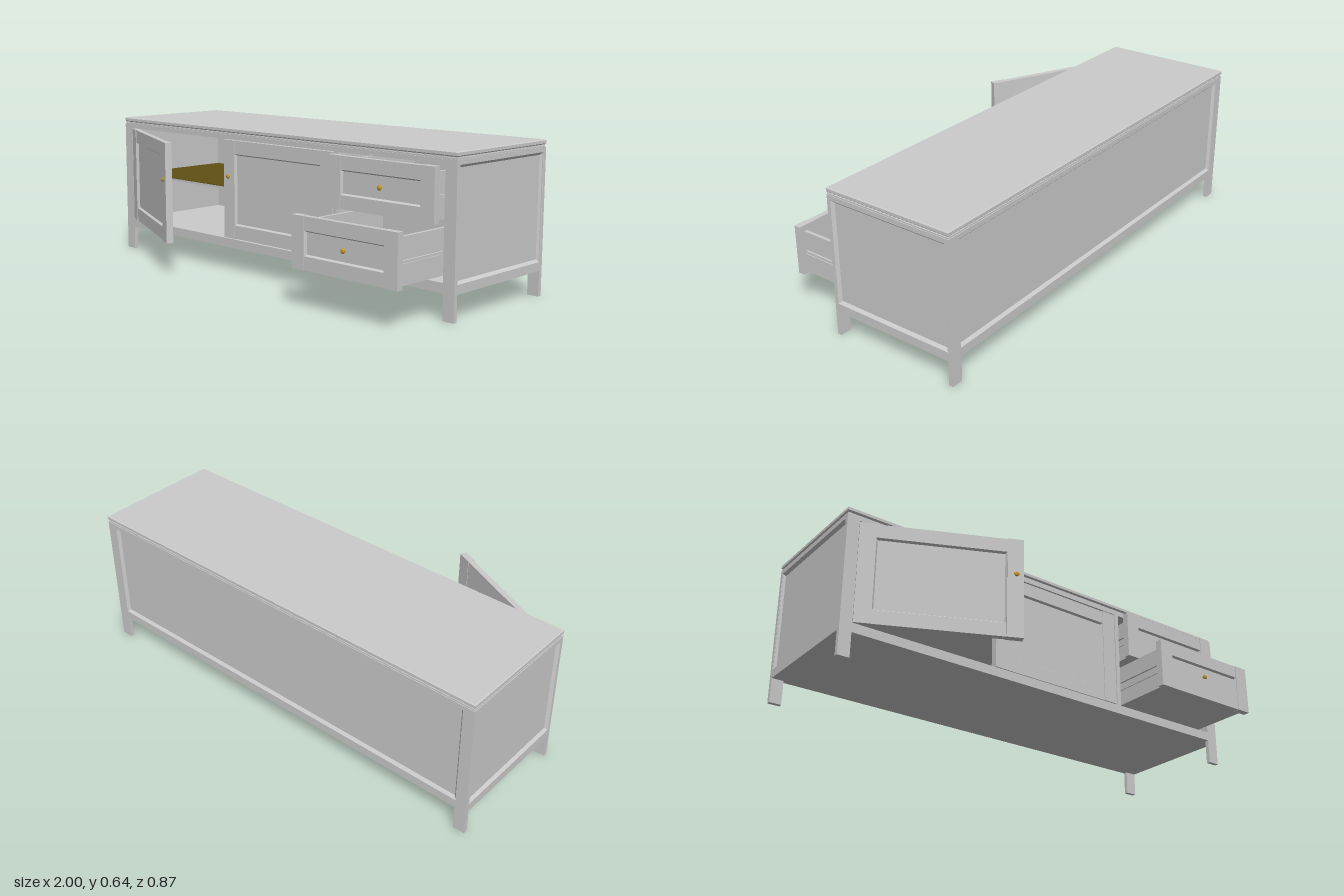
import * as THREE from 'three';

const grey = new THREE.MeshStandardMaterial({ color: 0xcccccc, flatShading: true });
const brown = new THREE.MeshStandardMaterial({ color: 0x605014 });
const gold = new THREE.MeshStandardMaterial({ color: 0xc89b2a });

const FRONT = 0.155, BACK = -0.435, BASE = 0.107, RIM = 0.615;
const MID_Z = (FRONT + BACK) / 2, DEPTH = FRONT - BACK;

function add(parent, name, geometry, material = grey) {
  const mesh = new THREE.Mesh(geometry, material);
  mesh.name = name;
  parent.add(mesh);
  return mesh;
}

// Box given by its minimum and maximum on each axis
function box(parent, name, [x0, x1], [y0, y1], [z0, z1], material) {
  const mesh = add(parent, name, new THREE.BoxGeometry(x1 - x0, y1 - y0, z1 - z0), material);
  mesh.position.set((x0 + x1) / 2, (y0 + y1) / 2, (z0 + z1) / 2);
  return mesh;
}

function group(parent, name) {
  const g = new THREE.Group();
  g.name = name;
  parent.add(g);
  return g;
}

// Solid from rectangular rings [x0, x1, y0, y1, z], running from back to front
function ringSolid(rings) {
  const loops = rings.map(([x0, x1, y0, y1, z]) =>
    [[x0, y0, z], [x1, y0, z], [x1, y1, z], [x0, y1, z]]);
  const pos = [];
  const quad = (a, b, c, d) => pos.push(...a, ...b, ...c, ...a, ...c, ...d);
  for (let k = 0; k < loops.length - 1; k++) {
    const A = loops[k], B = loops[k + 1];
    for (let i = 0; i < 4; i++) {
      const j = (i + 1) % 4;
      quad(A[i], A[j], B[j], B[i]);
    }
  }
  quad(...loops[loops.length - 1]);
  quad(...[...loops[0]].reverse());
  const g = new THREE.BufferGeometry();
  g.setAttribute('position', new THREE.Float32BufferAttribute(pos, 3));
  g.computeVertexNormals();
  return g;
}

// Board with a bevelled recess; front face at z = 0, x centred, y from 0 to h
function framedPanel(w, h, side, bottom, top, thickness, recess, bevel) {
  const x = w / 2, ix = x - side;
  return ringSolid([
    [-x, x, 0, h, -thickness],
    [-x, x, 0, h, 0],
    [-ix, ix, bottom, h - top, 0],
    [-ix + bevel, ix - bevel, bottom + bevel, h - top - bevel, -recess],
  ]);
}

function knob(parent, x, y, z) {
  const g = group(parent, 'knob');
  g.position.set(x, y, z);
  const head = add(g, 'knobHead', new THREE.SphereGeometry(0.011, 20, 12), gold);
  head.scale.z = 0.5;
  head.position.z = 0.005;
  const stem = add(g, 'knobStem', new THREE.CylinderGeometry(0.005, 0.005, 0.014, 12), gold);
  stem.rotation.x = Math.PI / 2;
  stem.position.z = -0.003;
}

// Stile-and-rail front, x from 0 to w, y from 0 to h, front at z = 0
function panelFront(parent, w, h, stile, rail) {
  const panel = add(parent, 'railsAndPanel',
    framedPanel(w - 0.004, h - 0.002, stile - 0.002, rail, rail, 0.025, 0.01, 0.006));
  panel.position.set(w / 2, 0.001, -0.003);
  for (const x of [0, w - stile]) box(parent, 'stile', [x, x + stile], [0, h], [-0.03, 0]);
}

function door(parent, name, x, angle, knobX) {
  const g = group(parent, name);
  g.position.set(x, 0.15, FRONT);
  g.rotation.y = -angle;
  panelFront(g, 0.66, 0.442, 0.068, 0.06);
  knob(g, knobX, 0.28, 0);
}

function drawer(parent, name, y, z) {
  const g = group(parent, name);
  g.position.set(0.41, y, z);
  panelFront(g, 0.533, 0.215, 0.065, 0.056);
  knob(g, 0.266, 0.108, -0.008);
  const back = -0.52, front = -0.028;
  // Sides, each with a runner groove
  for (const s of [-1, 1]) {
    const span = (a, b) => [0.2665 + s * a, 0.2665 + s * b].sort((p, q) => p - q);
    box(g, 'lowerSide', span(0.23, 0.245), [0.006, 0.1], [back, front]);
    box(g, 'grooveWall', span(0.23, 0.237), [0.1, 0.115], [back, front]);
    box(g, 'upperSide', span(0.23, 0.245), [0.115, 0.19], [back, front]);
    box(g, 'runner', span(0.245, 0.249), [0.075, 0.09], [back, front]);
  }
  box(g, 'drawerBack', [0.0365, 0.4965], [0.006, 0.19], [back, back + 0.015]);
  box(g, 'drawerBottom', [0.0365, 0.4965], [0.006, 0.016], [back + 0.015, front]);
  box(g, 'drawerLining', [0.0365, 0.4965], [0.016, 0.019], [back + 0.015, front], brown);
}

export function createModel() {
  const model = new THREE.Group();
  model.name = 'sideboard';

  // Side panels and back panel
  for (const s of [-1, 1]) {
    const side = add(model, s > 0 ? 'leftSide' : 'rightSide',
      framedPanel(DEPTH, RIM - BASE, 0.017, 0.038, 0.02, 0.03, 0.012, 0.011));
    side.position.set(s, BASE, MID_Z);
    side.rotation.y = s * Math.PI / 2;
  }
  const back = add(model, 'backPanel',
    framedPanel(1.998, RIM - BASE, 0.05, 0.038, 0.02, 0.02, 0.012, 0.011));
  back.position.set(0, BASE, BACK);
  back.rotation.y = Math.PI;

  // Front frame with door and drawer openings
  const outline = new THREE.Shape();
  const rect = (path, x0, x1, y0, y1) =>
    path.moveTo(x0, y0).lineTo(x1, y0).lineTo(x1, y1).lineTo(x0, y1).closePath();
  rect(outline, -0.999, 0.999, BASE, RIM);
  for (const [x0, x1] of [[-0.946, 0.384], [0.405, 0.946]]) {
    const hole = new THREE.Path();
    rect(hole, x0, x1, 0.147, 0.595);
    outline.holes.push(hole);
  }
  const frame = add(model, 'frontFrame',
    new THREE.ExtrudeGeometry(outline, { depth: 0.017, bevelEnabled: false }));
  frame.position.z = FRONT - 0.017;

  // Interior: floor, divider and shelf
  box(model, 'floor', [-0.972, 0.972], [BASE, 0.145], [BACK + 0.018, FRONT - 0.016]);
  box(model, 'divider', [0.386, 0.403], [0.145, RIM], [BACK + 0.02, FRONT - 0.017]);
  box(model, 'shelf', [-0.97, 0.386], [0.357, 0.367], [BACK + 0.02, 0.1]);
  box(model, 'shelfLining', [-0.97, 0.386], [0.367, 0.37], [BACK + 0.02, 0.1], brown);

  // Legs
  for (const x of [-1, 0.947]) {
    for (const z of [BACK, FRONT - 0.018]) {
      box(model, 'leg', [x, x + 0.053], [0, BASE], [z, z + 0.018]);
    }
  }

  // Top: moulding, shadow groove and chamfered slab
  const zs = (inset) => [BACK + inset, FRONT - inset];
  box(model, 'topMoulding', [-0.997, 0.997], [RIM, 0.621], zs(0.003));
  box(model, 'topGroove', [-0.988, 0.988], [0.621, 0.627], zs(0.012));
  const half = DEPTH / 2 + 0.001, c = 0.004;
  const slab = add(model, 'topSlab', ringSolid([
    [c - 1, 1 - c, c - half, half - c, 0.625],
    [-1, 1, -half, half, 0.629],
    [-1, 1, -half, half, 0.641],
    [c - 1, 1 - c, c - half, half - c, 0.645],
  ]));
  slab.rotation.x = -Math.PI / 2;
  slab.position.z = MID_Z;

  // Doors: one ajar, one closed
  door(model, 'openDoor', -0.945, THREE.MathUtils.degToRad(25), 0.63);
  door(model, 'closedDoor', -0.28, 0, 0.033);

  // Drawers, pulled out by different amounts
  drawer(model, 'upperDrawer', 0.376, 0.214);
  drawer(model, 'lowerDrawer', 0.16, 0.419);

  return model;
}
